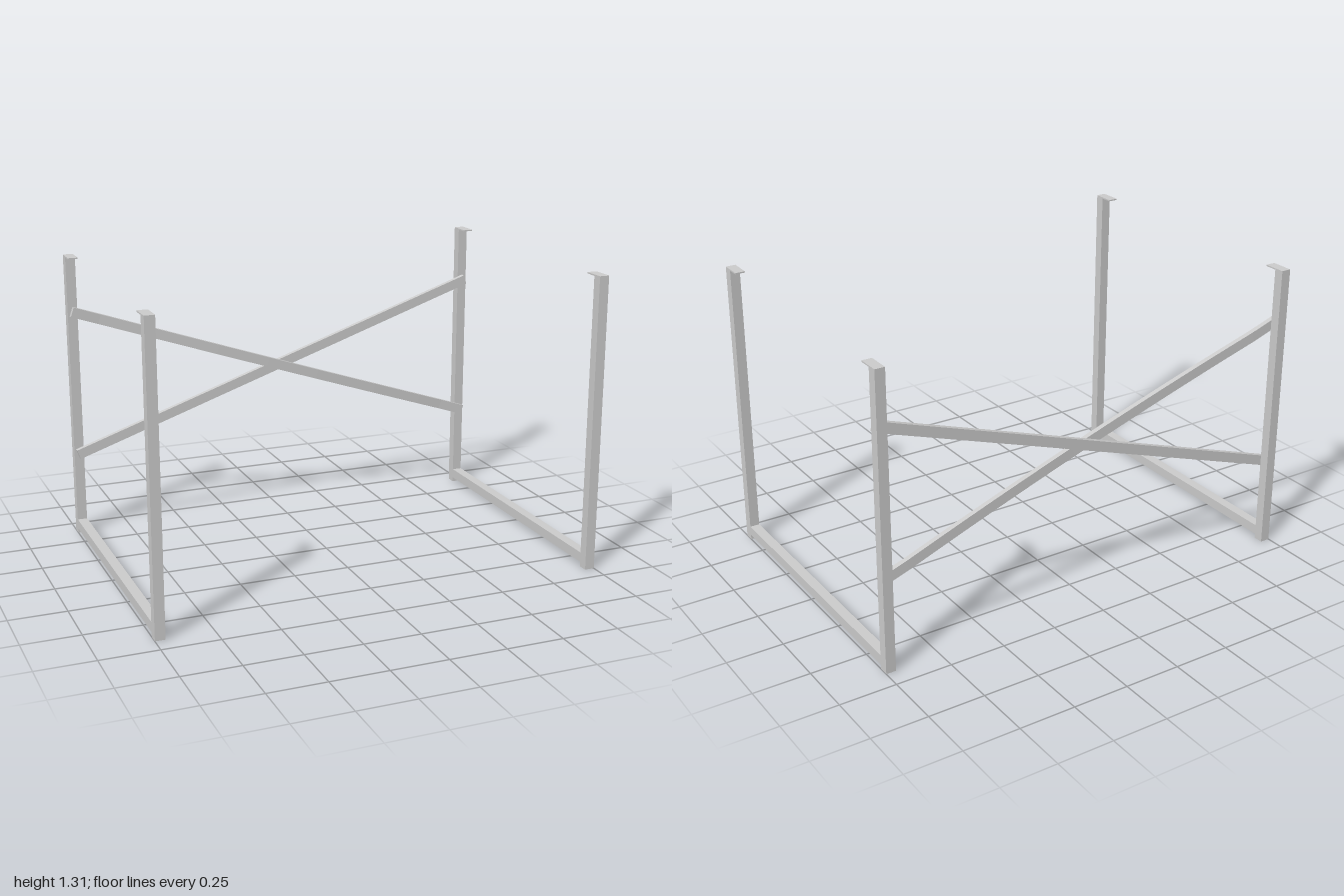
import * as THREE from 'three';

export function createModel() {
  const model = new THREE.Group();
  const material = new THREE.MeshStandardMaterial({ color: 0xcccccc, flatShading: true });
  const T = 0.044, H = 1.31;          // tube width, frame height
  const X = 1 - T / 2, Z = 0.645;     // post centres

  function add(name, geometry, x, y, z) {
    const mesh = new THREE.Mesh(geometry, material);
    mesh.name = name;
    mesh.position.set(x, y, z);
    model.add(mesh);
    return mesh;
  }
  const box = (name, w, h, d, x, y, z) => add(name, new THREE.BoxGeometry(w, h, d), x, y, z);

  // Two U-shaped side frames: posts, mounting tabs and a low rail
  for (const [side, sx] of [['left', 1], ['right', -1]]) {
    for (const [end, sz] of [['Front', 1], ['Back', -1]]) {
      box(side + end + 'Post', T, H, T, sx * X, H / 2, sz * Z);
      box(side + end + 'Tab', T, 0.006, 0.056, sx * X, H - 0.003, sz * (Z - T / 2 - 0.028));
    }
    box(side + 'Rail', T, T, 2 * Z - T, sx * X, 0.043, 0);
  }

  // Crossed braces on the inner face of the back posts; one bows over the other
  const halfX = 0.985, rise = 0.335, depth = 0.023;
  const length = 2 * Math.hypot(halfX, rise), angle = Math.atan2(rise, halfX);
  const braceZ = -Z + T / 2 + depth / 2 + 0.002;

  const straight = box('straightBrace', length, 0.045, depth, 0, 0.723, braceZ);
  straight.rotation.z = angle;

  const bowedGeometry = new THREE.BoxGeometry(length, 0.045, depth, 32, 1, 1);
  const p = bowedGeometry.attributes.position;
  for (let i = 0; i < p.count; i++) {
    const t = p.getX(i) / (0.87 * length / 2);
    p.setZ(i, p.getZ(i) + 0.0225 * Math.max(0, 1 - t * t));
  }
  bowedGeometry.computeVertexNormals();
  const bowed = add('bowedBrace', bowedGeometry, 0, 0.723, braceZ);
  bowed.rotation.z = -angle;

  return model;
}
